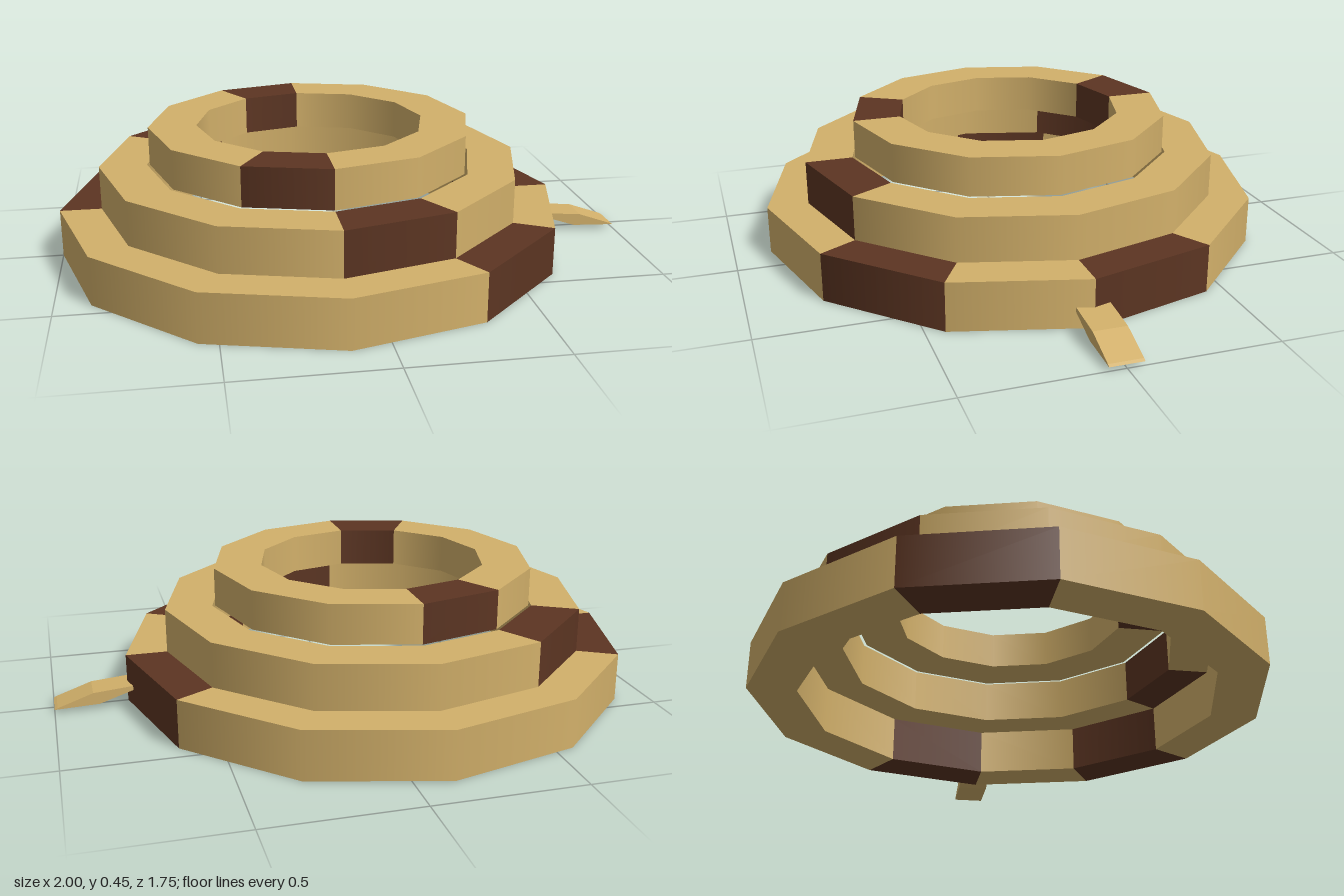
import * as THREE from 'three';
import { mergeGeometries } from 'three/addons/utils/BufferGeometryUtils.js';

const SIDES = 12;
const STEP = (Math.PI * 2) / SIDES;

// Flat four-cornered cap of one ring segment, facing up or down
function capQuad(k, inner, outer, y, up) {
  const a = STEP * k;
  const b = a + STEP;
  const corners = [[inner, a], [inner, b], [outer, b], [outer, a]];
  const cap = new THREE.BufferGeometry();
  cap.setAttribute('position', new THREE.Float32BufferAttribute(
    corners.flatMap(([r, t]) => [r * Math.cos(t), y, r * Math.sin(t)]), 3));
  cap.setAttribute('uv', new THREE.Float32BufferAttribute([0, 0, 0, 1, 1, 1, 1, 0], 2));
  cap.setIndex(up ? [0, 1, 2, 0, 2, 3] : [0, 2, 1, 0, 3, 2]);
  cap.computeVertexNormals();
  return cap;
}

// One segment of a ring: smooth outer and inner walls, flat top and bottom
function ringSegment(k, inner, outer, y0, y1) {
  const wall = (r) => new THREE.CylinderGeometry(
    r, r, y1 - y0, 1, 1, true, Math.PI / 2 - STEP * (k + 1), STEP).translate(0, (y0 + y1) / 2, 0);

  const outside = wall(outer);
  const inside = wall(inner);
  inside.index.array.reverse();
  const n = inside.attributes.normal;
  for (let i = 0; i < n.count; i++) n.setXYZ(i, -n.getX(i), -n.getY(i), -n.getZ(i));

  return mergeGeometries([
    outside, inside,
    capQuad(k, inner, outer, y1, true),
    capQuad(k, inner, outer, y0, false),
  ]);
}

export function createModel() {
  const tan = new THREE.MeshStandardMaterial({ color: 0xd2b06a });
  tan.name = 'tan';
  const brown = new THREE.MeshStandardMaterial({ color: 0x5c3522 });
  brown.name = 'brown';

  const model = new THREE.Group();
  model.name = 'coiledBody';

  // Stacked coils, each with a few brown bands
  const coils = [
    { name: 'lowerCoil', inner: 0.71, outer: 0.875, y0: 0, y1: 0.165, bands: [1, 6, 11] },
    { name: 'middleCoil', inner: 0.57, outer: 0.733, y0: 0.165, y1: 0.317, bands: [2, 7] },
    { name: 'upperCoil', inner: 0.395, outer: 0.56, y0: 0.317, y1: 0.45, bands: [3, 8] },
  ];
  for (const { name, inner, outer, y0, y1, bands } of coils) {
    const coil = new THREE.Group();
    coil.name = name;
    coil.position.x = -0.125;
    const plain = [];
    const banded = [];
    for (let k = 0; k < SIDES; k++) {
      (bands.includes(k) ? banded : plain).push(ringSegment(k, inner, outer, y0, y1));
    }
    const skin = new THREE.Mesh(mergeGeometries(plain), tan);
    skin.name = name + 'Skin';
    const stripes = new THREE.Mesh(mergeGeometries(banded), brown);
    stripes.name = name + 'Bands';
    coil.add(skin, stripes);
    model.add(coil);
  }

  // Thin drooping tip at the side of the lowest coil
  const profile = new THREE.Shape([
    [0.72, 0.062], [0.735, 0.057], [0.85, 0.019], [1.0, 0.013],
    [0.99, 0.018], [0.87, 0.06], [0.735, 0.072], [0.72, 0.073],
  ].map(([x, y]) => new THREE.Vector2(x, y)));
  const tip = new THREE.Mesh(
    new THREE.ExtrudeGeometry(profile, { depth: 0.112, bevelEnabled: false }).translate(0, 0, -0.056), tan);
  tip.name = 'tailTip';
  model.add(tip);

  return model;
}
